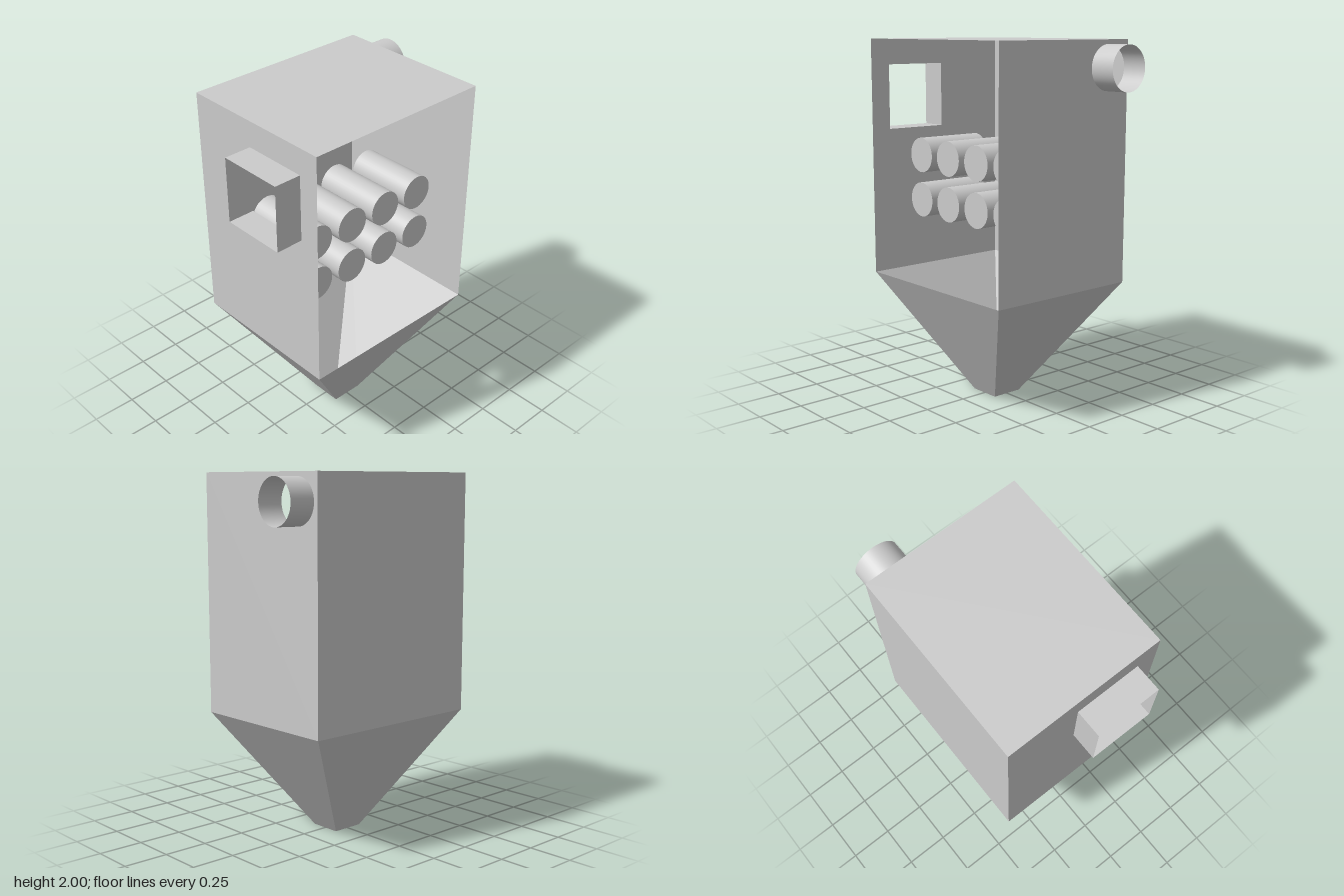
import * as THREE from 'three';

const material = new THREE.MeshStandardMaterial({ color: 0xcccccc, side: THREE.DoubleSide });

// Main dimensions
const HX = 0.545, HZ = 0.453, TOP = 2, SHOULDER = 0.67, OUTLET = 0.09;
const inlet = { z0: -0.035, z1: 0.335, y0: 1.49, y1: 1.855, x: -0.697 };
const pipe = { y: 1.853, z: -0.305, r: 0.123, x: 0.693 };

function add(parent, name, geometry) {
  const mesh = new THREE.Mesh(geometry, material);
  mesh.name = name;
  parent.add(mesh);
  return mesh;
}

// Open, flat-sided sleeve joining two loops of four corners
function sleeve(a, b) {
  const points = [];
  for (let i = 0; i < 4; i++) {
    const j = (i + 1) % 4;
    points.push(...a[i], ...a[j], ...b[j], ...a[i], ...b[j], ...b[i]);
  }
  const geometry = new THREE.BufferGeometry();
  geometry.setAttribute('position', new THREE.Float32BufferAttribute(points, 3));
  geometry.computeVertexNormals();
  return geometry;
}

const levelLoop = (x, y, z) => [[-x, y, z], [x, y, z], [x, y, -z], [-x, y, -z]];
const sideLoop = (x, { z0, z1, y0, y1 }) => [[x, y0, z0], [x, y0, z1], [x, y1, z1], [x, y1, z0]];

// Sheet side wall drawn in (z, y) with one opening
function sideWall(x, hole) {
  const shape = new THREE.Shape();
  shape.moveTo(-HZ, SHOULDER).lineTo(HZ, SHOULDER).lineTo(HZ, TOP).lineTo(-HZ, TOP).closePath();
  shape.holes.push(hole);
  return new THREE.ShapeGeometry(shape, 24).rotateY(-Math.PI / 2).translate(x, 0, 0);
}

export function createModel() {
  const group = new THREE.Group();
  group.name = 'dustCollector';

  // Housing: roof, back and two pierced sides, open at the front
  const housing = new THREE.Group();
  housing.name = 'housing';
  group.add(housing);
  const height = TOP - SHOULDER;
  add(housing, 'roof', new THREE.PlaneGeometry(2 * HX, 2 * HZ).rotateX(-Math.PI / 2).translate(0, TOP, 0));
  add(housing, 'backWall', new THREE.PlaneGeometry(2 * HX, height).rotateY(Math.PI)
    .translate(0, SHOULDER + height / 2, -HZ));

  const inletHole = new THREE.Path();
  inletHole.moveTo(inlet.z0, inlet.y0).lineTo(inlet.z0, inlet.y1)
    .lineTo(inlet.z1, inlet.y1).lineTo(inlet.z1, inlet.y0).closePath();
  add(housing, 'rightWall', sideWall(-HX, inletHole));

  const pipeHole = new THREE.Path();
  pipeHole.absarc(pipe.z, pipe.y, pipe.r, 0, Math.PI * 2, true);
  add(housing, 'leftWall', sideWall(HX, pipeHole));

  // Tapered hopper, open at both ends
  add(group, 'hopper', sleeve(levelLoop(OUTLET, 0, OUTLET), levelLoop(HX, SHOULDER, HZ)));

  // Rectangular inlet duct and round outlet pipe
  add(group, 'inletDuct', sleeve(sideLoop(inlet.x, inlet), sideLoop(-HX, inlet)));
  const length = pipe.x - HX;
  add(group, 'outletPipe', new THREE.CylinderGeometry(pipe.r, pipe.r, length, 48, 1, true)
    .rotateZ(-Math.PI / 2).translate(HX + length / 2, pipe.y, pipe.z));

  // Two rows of four filter cartridges
  const cartridges = new THREE.Group();
  cartridges.name = 'filterCartridges';
  group.add(cartridges);
  const cartridge = new THREE.CylinderGeometry(0.098, 0.098, 0.4, 40).rotateX(Math.PI / 2);
  for (const y of [1.095, 1.35]) {
    for (let i = 0; i < 4; i++) {
      add(cartridges, 'filterCartridge', cartridge).position.set((i - 1.5) * 0.242, y, 0.05);
    }
  }
  return group;
}
